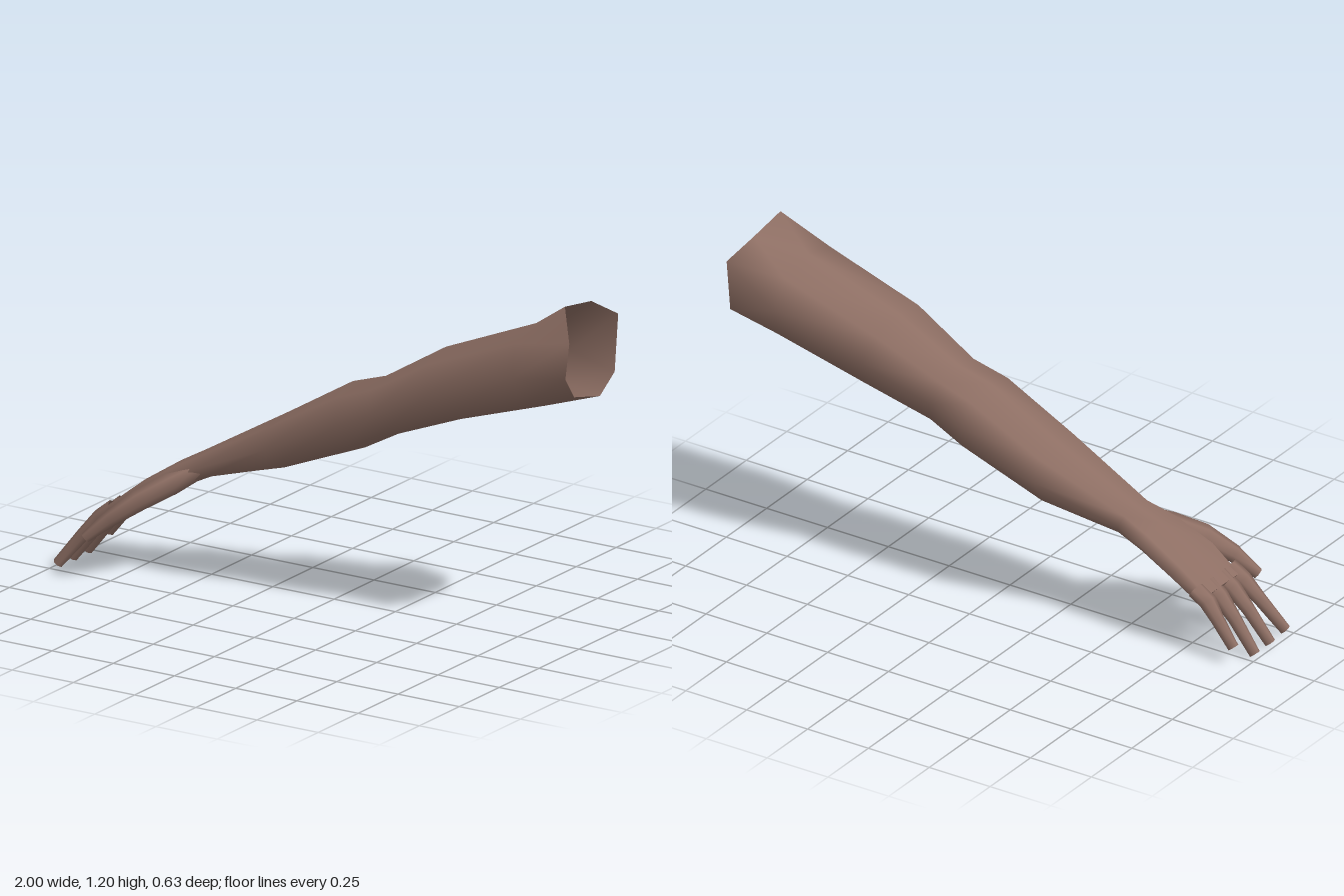
import * as THREE from 'three';

const V = (x, y, z) => new THREE.Vector3(x, y, z);

// Skin a list of rings (arrays of points: front, top, back, bottom), with an optional flat end cap
function loft(rings, capped) {
  const n = rings[0].length;
  const pts = rings.flat();
  const index = [];
  for (let i = 0; i < rings.length - 1; i++) {
    for (let j = 0; j < n; j++) {
      const a = i * n + j, b = i * n + (j + 1) % n;
      index.push(a, b, a + n, b, b + n, a + n);
    }
  }
  if (capped) {
    const base = pts.length; // own vertices keep the rim sharp
    pts.push(...rings[rings.length - 1]);
    for (let j = 1; j < n - 1; j++) index.push(base, base + j, base + j + 1);
  }
  const geo = new THREE.BufferGeometry().setFromPoints(pts);
  geo.setIndex(index);
  geo.computeVertexNormals();
  return geo;
}

// Eight-sided section from its top point, bottom point and z range
function section([xt, yt, xb, yb, back, front]) {
  const ring = [];
  for (let j = 0; j < 8; j++) {
    const a = j * Math.PI / 4, k = j % 2 ? 1.08 : 1;
    const s = (Math.sin(a) * k + 1) / 2, c = (Math.cos(a) * k + 1) / 2;
    ring.push(V(xb + (xt - xb) * s, yb + (yt - yb) * s, back + (front - back) * c));
  }
  return ring;
}

// Tapered six-sided digit; each step is [x, y, z, half width, half thickness]
function digit(steps, up) {
  const c = steps.map(([x, y, z]) => V(x, y, z));
  const rings = steps.map(([, , , w, h], i) => {
    const dir = c[Math.min(i + 1, c.length - 1)].clone().sub(c[Math.max(i - 1, 0)]).normalize();
    const side = up.clone().cross(dir).normalize();
    const nrm = dir.clone().cross(side);
    return Array.from({ length: 6 }, (_, j) => {
      const a = (j + 0.5) * Math.PI / 3;
      return c[i].clone().addScaledVector(side, Math.cos(a) * w * 1.1).addScaledVector(nrm, Math.sin(a) * h);
    });
  });
  return loft(rings, true);
}

export function createModel() {
  const model = new THREE.Group();
  const skin = new THREE.MeshStandardMaterial({ color: 0x8d6e63, side: THREE.DoubleSide });
  skin.name = 'skin';
  const add = (name, geo) => {
    const mesh = new THREE.Mesh(geo, skin);
    mesh.name = name;
    model.add(mesh);
  };

  // Open, uneven shoulder rim
  const rim = [
    V(1, 1, 0.085), V(0.98, 1.11, 0.03), V(0.91, 1.21, -0.05), V(0.91, 1.185, -0.215),
    V(0.955, 1.12, -0.315), V(0.96, 0.92, -0.285), V(0.955, 0.855, -0.2), V(0.98, 0.91, 0),
  ];

  // Upper arm, elbow, forearm, wrist and palm: top x, y, bottom x, y, back z, front z
  const sections = [
    [0.76, 1.11, 0.80, 0.82, -0.285, 0.082],
    [0.41, 0.97, 0.47, 0.72, -0.25, 0.105],
    [0.18, 0.83, 0.23, 0.63, -0.187, 0.086],
    [0.05, 0.79, 0.10, 0.56, -0.188, 0.105],
    [-0.20, 0.64, -0.22, 0.435, -0.165, 0.12],
    [-0.51, 0.46, -0.48, 0.37, -0.078, 0.106],
    [-0.60, 0.41, -0.575, 0.325, -0.08, 0.15],
    [-0.73, 0.325, -0.70, 0.25, -0.08, 0.19],
    [-0.84, 0.235, -0.805, 0.185, -0.07, 0.185],
  ].map(section);
  add('armAndPalm', loft([rim, ...sections], true));

  // Four fingers: base, knuckle and tip z, then shift of the tip in x and y
  const fingers = [
    ['indexFinger', 0.165, 0.195, 0.228, 0.005, 0.005],
    ['middleFinger', 0.105, 0.118, 0.127, 0, 0],
    ['ringFinger', 0.034, 0.034, 0.032, 0, 0],
    ['littleFinger', -0.037, -0.044, -0.048, 0.035, 0.05],
  ];
  for (const [name, z0, z1, z2, dx, dy] of fingers) {
    add(name, digit([
      [-0.79, 0.24, z0, 0.034, 0.03],
      [-0.84, 0.2 + dy * 0.2, z0 * 0.6 + z1 * 0.4, 0.032, 0.028],
      [-0.90 + dx * 0.5, 0.13 + dy * 0.5, z1, 0.023, 0.024],
      [-0.985 + dx, 0.018 + dy, z2, 0.019, 0.019],
    ], V(-0.7, 0.7, 0)));
  }

  // Thumb spreading from the wrist
  add('thumb', digit([
    [-0.50, 0.405, 0.06, 0.03, 0.03],
    [-0.58, 0.355, 0.125, 0.05, 0.04],
    [-0.665, 0.30, 0.205, 0.048, 0.038],
    [-0.745, 0.235, 0.262, 0.033, 0.029],
    [-0.822, 0.163, 0.297, 0.02, 0.019],
  ], V(-0.5, 0.85, 0)));

  return model;
}
